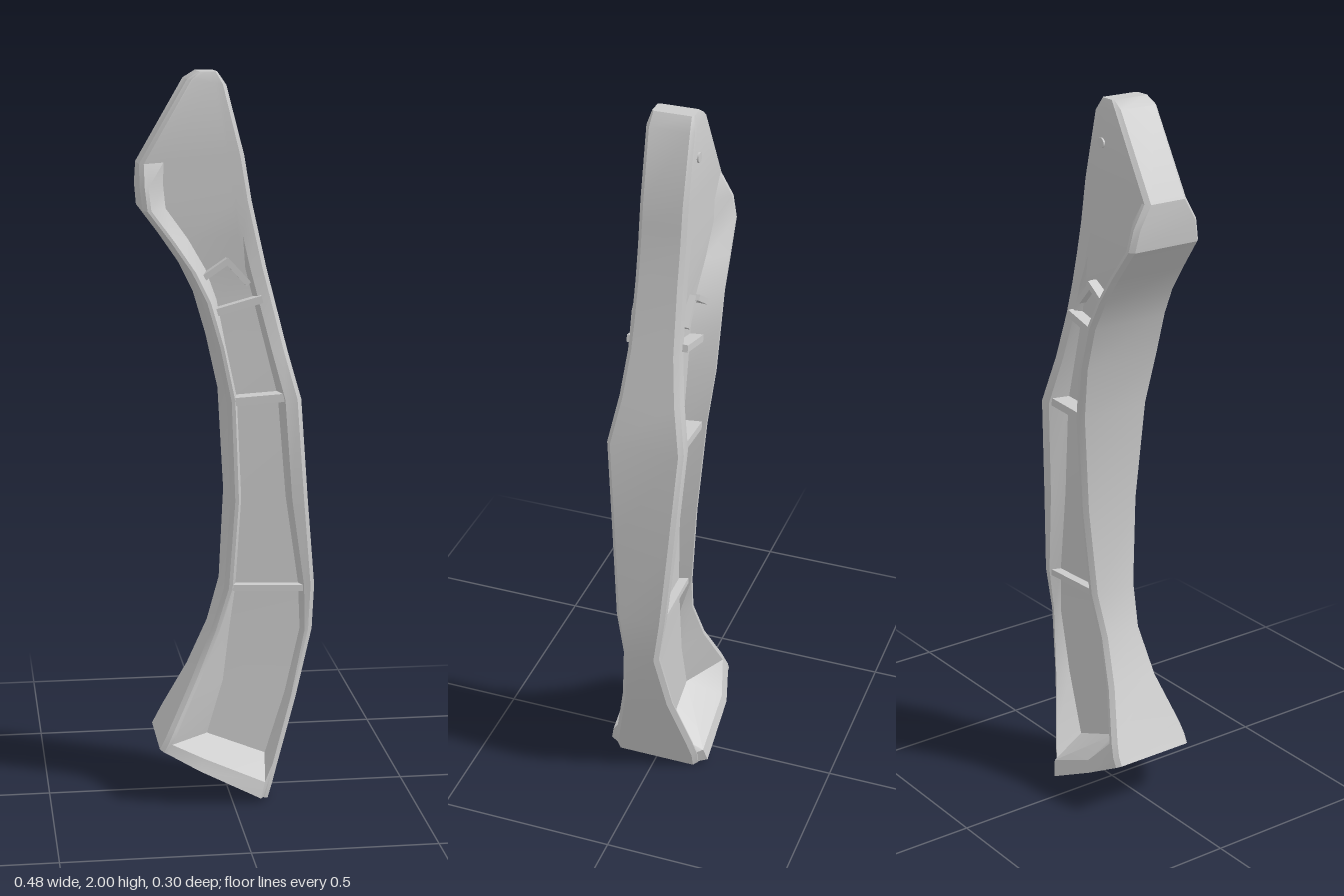
import * as THREE from 'three';
import { toCreasedNormals } from 'three/addons/utils/BufferGeometryUtils.js';

const material = new THREE.MeshStandardMaterial({ color: 0xcccccc });
const { smoothstep } = THREE.MathUtils;

// Sections from bottom to top: left edge x,y, right edge x,y, half thickness left and right
const sections = [
  [-0.2, 0.16, 0.1, 0.005, 0.125, 0.125],
  [-0.187, 0.185, 0.113, 0.05, 0.125, 0.125],
  [-0.17, 0.22, 0.128, 0.1, 0.118, 0.115],
  [-0.105, 0.35, 0.185, 0.28, 0.08, 0.075],
  [-0.05, 0.48, 0.233, 0.47, 0.063, 0.052],
  [-0.015, 0.6, 0.236, 0.6, 0.072, 0.07],
  [0, 0.85, 0.213, 0.85, 0.09, 0.088],
  [-0.013, 1.13, 0.19, 1.13, 0.112, 0.108],
  [-0.045, 1.28, 0.155, 1.26, 0.125, 0.084],
  [-0.08, 1.4, 0.123, 1.39, 0.125, 0.07],
  [-0.12, 1.48, 0.1, 1.48, 0.12, 0.067],
  [-0.175, 1.56, 0.08, 1.57, 0.117, 0.065],
  [-0.235, 1.64, 0.06, 1.66, 0.112, 0.065],
  [-0.241, 1.7, 0.05, 1.72, 0.1, 0.065],
  [-0.24, 1.76, 0.04, 1.78, 0.066, 0.065],
  [-0.112, 1.98, -0.008, 1.965, 0.065, 0.065],
  [-0.08, 2, -0.032, 2, 0.056, 0.056],
];

// Half thickness of the web: a bulging lip at the foot, pockets, then a flat head
function webHalf(y, limit) {
  if (y < 0.2) return y < 0.17 ? 0.15 : 0.14;
  const web = 0.036 + 0.015 * smoothstep(y, 0.4, 1.1) + 0.014 * smoothstep(y, 1.42, 1.6);
  return Math.min(web, limit);
}

// Closed ring of 16 points: front side left to right, then the back mirrored
function ring([lx, ly, rx, ry, wl, wr]) {
  const len = Math.hypot(rx - lx, ry - ly);
  const bevel = Math.min(0.012, len * 0.1);
  const web = webHalf(ly, Math.min(wl, wr));
  // Rim widths and the slope of the left inner wall, scaled down where the body is narrow
  const rimL = 0.022, wallR = 0.012;
  const rimR = 0.015 + 0.03 * smoothstep(ly, 0.3, 0.9);
  const wallL = 0.012 + 0.085 * (1 - smoothstep(ly, 0.2, 0.6)) + 0.03 * smoothstep(ly, 1.25, 1.6);
  const k = Math.min(1, 0.8 * len / (rimL + wallL + rimR + wallR));
  const half = [
    [0, wl - bevel], [bevel, wl], [rimL * k, wl], [(rimL + wallL) * k, web],
    [len - (rimR + wallR) * k, web], [len - rimR * k, wr], [len - bevel, wr], [len, wr - bevel],
  ].map(([u, z]) => [lx + (rx - lx) * u / len, ly + (ry - ly) * u / len, z]);
  return [...half, ...half.slice().reverse().map(([x, y, z]) => [x, y, -z])];
}

function loft(rings) {
  const n = rings[0].length, index = [];
  const quad = (a, b, c, d) => index.push(a, b, c, a, c, d);
  for (let s = 0; s < rings.length - 1; s++) {
    for (let i = 0; i < n; i++) {
      const j = (i + 1) % n;
      quad(s * n + i, s * n + j, (s + 1) * n + j, (s + 1) * n + i);
    }
  }
  // End faces, as strips from front to back
  const top = (rings.length - 1) * n;
  for (let i = 0; i < n / 2 - 1; i++) {
    const back = n - 1 - i;
    quad(back, back - 1, i + 1, i);
    quad(top + i, top + i + 1, top + back - 1, top + back);
  }
  const geometry = new THREE.BufferGeometry();
  geometry.setAttribute('position', new THREE.Float32BufferAttribute(rings.flat(2), 3));
  geometry.setIndex(index);
  return toCreasedNormals(geometry, 0.5);
}

export function createModel() {
  const group = new THREE.Group();
  const add = (name, geometry) => {
    const mesh = new THREE.Mesh(geometry, material);
    mesh.name = name;
    group.add(mesh);
    return mesh;
  };

  // Curved body with rims around recessed sides
  add('curvedBody', loft(sections.map(ring)));

  // Ribs through the web, standing out on both sides
  const rib = (name, x0, y0, x1, y1, half, thick) => {
    const mesh = add(name, new THREE.BoxGeometry(Math.hypot(x1 - x0, y1 - y0), thick, half * 2));
    mesh.position.set((x0 + x1) / 2, (y0 + y1) / 2, 0);
    mesh.rotation.z = Math.atan2(y1 - y0, x1 - x0);
  };
  rib('lowerRib', -0.005, 0.6, 0.21, 0.592, 0.064, 0.018);
  rib('middleRib', -0.005, 1.125, 0.155, 1.135, 0.1, 0.022);
  rib('upperRib', -0.06, 1.36, 0.085, 1.4, 0.085, 0.02);
  // Peaked brace above the upper rib
  rib('braceLeft', -0.085, 1.45, -0.005, 1.505, 0.085, 0.016);
  rib('braceRight', -0.01, 1.505, 0.05, 1.44, 0.075, 0.016);

  // Small stud on the back near the top
  const stud = add('stud', new THREE.CylinderGeometry(0.014, 0.014, 0.01, 12));
  stud.rotation.x = Math.PI / 2;
  stud.position.set(-0.045, 1.885, -0.065);

  return group;
}
